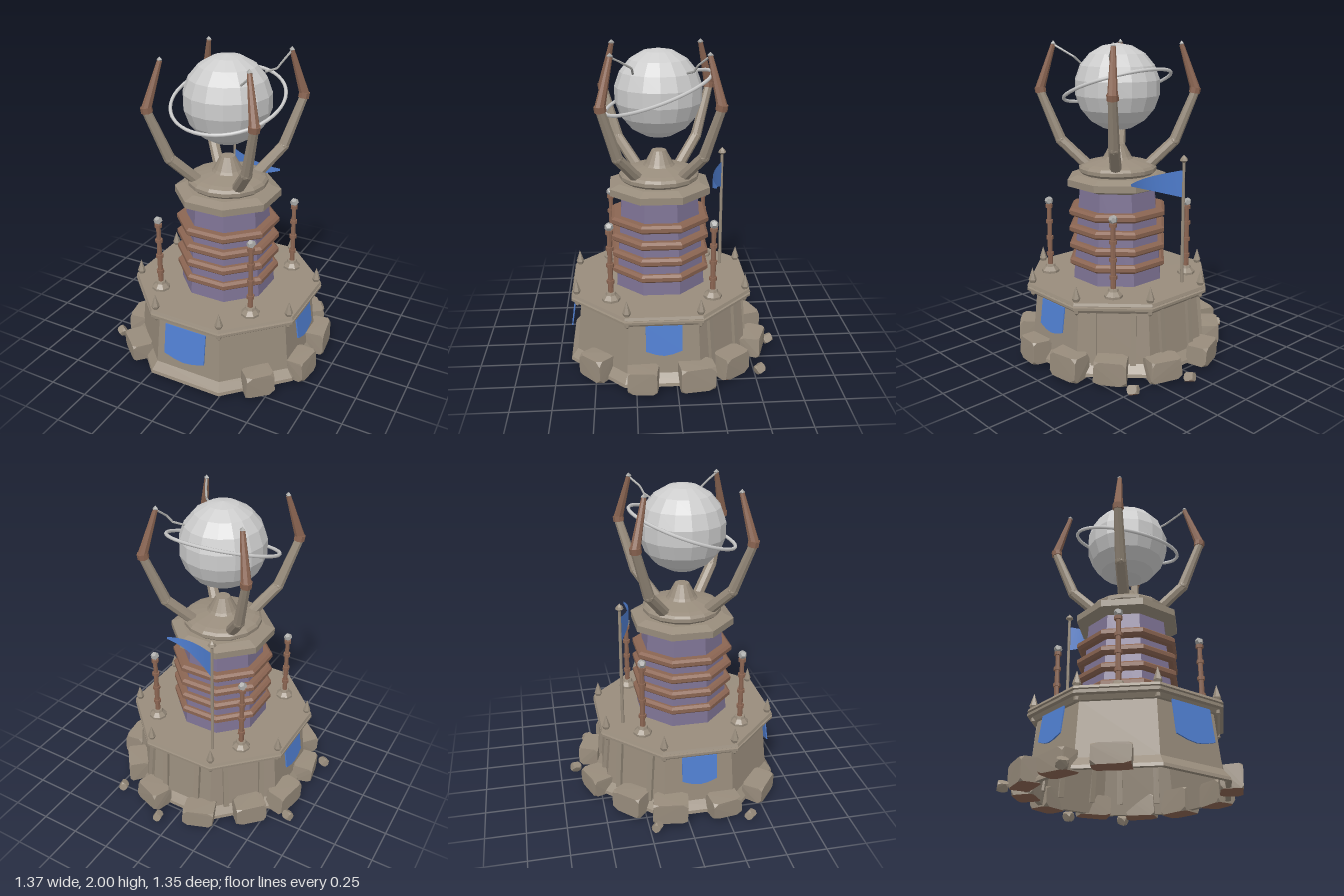
import * as THREE from 'three';
import { ConvexGeometry } from 'three/addons/geometries/ConvexGeometry.js';

const mat = (name, color) => {
  const m = new THREE.MeshStandardMaterial({ color });
  m.name = name;
  return m;
};
const V = (x, y, z) => new THREE.Vector3(x, y, z);
const K = Math.cos(Math.PI / 8);

// Hard-edged faceted version of a geometry
function facet(g) {
  const f = g.index ? g.toNonIndexed() : g;
  f.computeVertexNormals();
  return f;
}

export function createModel() {
  const stone = mat('stone', 0x988c7c);
  const copper = mat('copper', 0x8b6552);
  const purple = mat('purple brick', 0x7e7394);
  const silver = mat('silver', 0xcccccc);
  const metal = mat('grey metal', 0xa9a9a7);
  const blue = mat('blue cloth', 0x4f7ed0);
  blue.side = THREE.DoubleSide;

  const root = new THREE.Group();
  const tower = new THREE.Group();
  tower.name = 'tower';
  tower.position.set(0.02, 0, 0.08);
  root.add(tower);

  const add = (parent, name, geo, m, x = 0, y = 0, z = 0) => {
    const mesh = new THREE.Mesh(geo, m);
    mesh.name = name;
    mesh.position.set(x, y, z);
    parent.add(mesh);
    return mesh;
  };
  // Octagonal turned shape; profile is [apothem, height]
  const octa = (profile) => facet(new THREE.LatheGeometry(
    profile.map(([r, y]) => new THREE.Vector2(r / K, y)), 8, Math.PI / 8));
  const turned = (profile, n) => facet(new THREE.LatheGeometry(
    profile.map(([r, y]) => new THREE.Vector2(r, y)), n));
  // Tapered rod between two points
  const rod = (parent, name, a, b, ra, rb, m, n = 8) => {
    const g = facet(new THREE.CylinderGeometry(rb, ra, a.distanceTo(b), n));
    const mesh = add(parent, name, g, m);
    mesh.position.copy(a).lerp(b, 0.5);
    mesh.quaternion.setFromUnitVectors(V(0, 1, 0), b.clone().sub(a).normalize());
    return mesh;
  };

  // Hollow base with flared foot, and the platform on it
  add(tower, 'baseWall', octa([[0.49, 0.43], [0.555, 0.03], [0.585, 0.03], [0.58, 0.05],
    [0.54, 0.1], [0.508, 0.43]]), stone);
  add(tower, 'platform', octa([[0, 0.42], [0.53, 0.42], [0.545, 0.445], [0.567, 0.45], [0.567, 0.465],
    [0.553, 0.468], [0.553, 0.475], [0.567, 0.478], [0.56, 0.495], [0, 0.497]]), stone);

  // Corner spikes and small pendants
  for (let i = 0; i < 8; i++) {
    const a = Math.PI / 8 + i * Math.PI / 4;
    const s = Math.sin(a), c = Math.cos(a);
    add(tower, 'spike', turned([[0.016, 0.49], [0.026, 0.515], [0, 0.595]], 6), stone, s * 0.577, 0, c * 0.577);
    add(tower, 'pendant', turned([[0, 0.405], [0.016, 0.42], [0.016, 0.44]], 6), stone, s * 0.575, 0, c * 0.575);
  }

  // Ribs on the three rear walls
  for (let i = 3; i <= 5; i++) {
    const wall = new THREE.Group();
    wall.name = 'ribbedWall';
    wall.rotation.y = i * Math.PI / 4;
    for (const x of [-0.12, 0.12]) {
      const rib = add(wall, 'rib', facet(new THREE.BoxGeometry(0.035, 0.33, 0.035)), stone, x, 0.26, 0.53);
      rib.rotation.x = -0.09;
    }
    tower.add(wall);
  }

  // Hanging banners on the front and both sides
  for (const [angle, w, h, d] of [[0, 0.14, 0.23, 0.545], [1, 0.11, 0.19, 0.53], [-1, 0.11, 0.19, 0.53]]) {
    const holder = new THREE.Group();
    holder.name = 'bannerHolder';
    holder.rotation.y = angle * Math.PI / 2;
    const s = new THREE.Shape([[-w, 0], [-w, -h + 0.03], [-w * 0.45, -h + 0.008], [0, -h],
      [w * 0.45, -h + 0.008], [w, -h + 0.03], [w, 0]].map((p) => new THREE.Vector2(...p)));
    const g = new THREE.ExtrudeGeometry(s, { depth: 0.008, bevelEnabled: false });
    const banner = add(holder, 'banner', g, blue, 0, 0.42, d);
    banner.rotation.x = -0.14;
    tower.add(holder);
  }

  // Tapered octagonal shaft with copper coils
  add(tower, 'shaft', octa([[0.28, 0.49], [0.235, 1.1]]), purple);
  for (let i = 0; i < 4; i++) {
    const y = 0.61 + i * 0.109;
    add(tower, 'coil', octa([[0.24, y - 0.026], [0.285, y - 0.026], [0.302, y - 0.012], [0.302, y + 0.012],
      [0.285, y + 0.026], [0.24, y + 0.026]]), copper);
  }

  // Cap, collar and central cone
  add(tower, 'cap', octa([[0.2, 1.08], [0.24, 1.08], [0.308, 1.105], [0.308, 1.148], [0.25, 1.172], [0, 1.175]]), stone);
  add(tower, 'collar', turned([[0.215, 1.16], [0.235, 1.178], [0.25, 1.19], [0.25, 1.212], [0.235, 1.228],
    [0.205, 1.24], [0.1, 1.265], [0.088, 1.28], [0.045, 1.36], [0, 1.362]], 16), stone);

  // Four bent arms, each above a slender corner post
  for (const sx of [-1, 1]) for (const sz of [-1, 1]) {
    const p = (r, y) => V(sx * r, y, sz * r);
    rod(tower, 'armBase', p(0.13, 1.21), p(0.255, 1.38), 0.037, 0.035, stone);
    add(tower, 'armJoint', facet(new THREE.IcosahedronGeometry(0.036, 1)), stone, sx * 0.255, 1.38, sz * 0.255);
    rod(tower, 'armShaft', p(0.255, 1.38), p(0.343, 1.69), 0.035, 0.027, stone);
    rod(tower, 'armElbow', p(0.34, 1.68), p(0.344, 1.715), 0.035, 0.035, copper);
    rod(tower, 'armProng', p(0.344, 1.7), p(0.28, 1.975), 0.031, 0.015, copper);
    add(tower, 'armTip', facet(new THREE.OctahedronGeometry(0.019)), metal, sx * 0.28, 1.98, sz * 0.28);

    const post = new THREE.Group();
    post.name = 'cornerPost';
    post.position.set(sx * 0.32, 0, sz * 0.315);
    add(post, 'postFoot', turned([[0.058, 0.49], [0.058, 0.51], [0.035, 0.535], [0.03, 0.55], [0, 0.55]], 8), stone);
    rod(post, 'postRod', V(0, 0.54, 0), V(0, 0.96, 0), 0.017, 0.014, copper);
    for (const y of [0.62, 0.73, 0.84, 0.945]) {
      rod(post, 'postKnob', V(0, y - 0.011, 0), V(0, y + 0.011, 0), 0.024, 0.024, copper);
    }
    add(post, 'postGem', facet(new THREE.DodecahedronGeometry(0.028)), metal, 0, 0.98, 0);
    tower.add(post);
  }

  // Floating orb with its tilted orbit ring
  add(tower, 'orb', facet(new THREE.SphereGeometry(0.27, 16, 9)), silver, 0, 1.715, 0);
  const orbit = add(tower, 'orbitRing', new THREE.TorusGeometry(0.344, 0.011, 6, 48), silver, 0, 1.72, 0);
  orbit.rotation.x = Math.PI / 2 + 0.35;

  // Bent wires from two arms to the orb
  for (const path of [
    [[0.28, 1.975, 0.28], [0.25, 1.94, 0.22], [0.21, 1.9, 0.16], [0.165, 1.86, 0.154]],
    [[0.28, 1.975, -0.28], [0.25, 1.92, -0.215], [0.225, 1.88, -0.195], [0.165, 1.86, -0.16]]]) {
    for (let i = 0; i < 3; i++) rod(tower, 'wire', V(...path[i]), V(...path[i + 1]), 0.007, 0.007, metal, 6);
  }

  // Flagpole with a waving pennant
  const flag = new THREE.Group();
  flag.name = 'flagpole';
  flag.position.set(-0.15, 0, -0.34);
  rod(flag, 'pole', V(0, 0.49, 0), V(0, 1.28, 0), 0.011, 0.009, stone);
  add(flag, 'finial', turned([[0.008, 1.27], [0.026, 1.285], [0.02, 1.3], [0, 1.32]], 6), stone);
  const cloth = new THREE.PlaneGeometry(1, 1, 8, 1);
  const pos = cloth.attributes.position;
  for (let i = 0; i < pos.count; i++) {
    const t = pos.getX(i) + 0.5;
    const y = pos.getY(i) > 0 ? 1.225 - 0.045 * t : 1.05 + 0.115 * t;
    pos.setXYZ(i, 0.37 * t, y, 0.09 * Math.sin(2.1 * t));
  }
  cloth.computeVertexNormals();
  add(flag, 'pennant', cloth, blue);
  root.add(flag);

  // Rough boulders around the foot; undersides show brown earth
  let seed = 7;
  const rnd = () => (seed = (seed * 16807) % 2147483647) / 2147483647;
  const boulder = (w, h, d, cut) => {
    const pts = [];
    for (const x of [-1, 1]) for (const y of [-1, 1]) for (const z of [-1, 1]) {
      const j = () => 0.88 + 0.12 * rnd();
      const c = V(x * w / 2 * j(), y * h / 2 * j(), z * d / 2 * j());
      for (const k of ['x', 'y', 'z']) {
        const q = c.clone();
        q[k] *= 1 - cut * (0.6 + 0.8 * rnd());
        pts.push(q);
      }
    }
    const g = new ConvexGeometry(pts);
    const n = g.attributes.normal;
    for (let i = 0; i < n.count; i += 3) g.addGroup(i, 3, n.getY(i) < -0.75 ? 1 : 0);
    return g;
  };
  // x, z, width, height, turn
  for (const [x, z, w, h, turn] of [
    [-0.155, -0.52, 0.21, 0.13, 0.35], [0.2, -0.52, 0.21, 0.14, -0.35], [0.455, -0.34, 0.21, 0.15, -0.9],
    [0.59, -0.115, 0.22, 0.16, -1.45], [0.605, 0.21, 0.2, 0.15, 1.45], [0.44, 0.49, 0.19, 0.155, 0.8],
    [-0.425, 0.5, 0.22, 0.12, -0.7], [-0.565, 0.23, 0.2, 0.13, -1.35], [-0.565, -0.11, 0.23, 0.15, 1.4],
    [-0.42, -0.33, 0.21, 0.14, 0.8]]) {
    const rock = add(root, 'boulder', boulder(w, h, 0.14, 0.3), [stone, copper], x, 0.018 + h / 2, z);
    rock.rotation.y = turn;
  }
  for (const [x, z, turn] of [[0.09, -0.645, 0.3], [0.45, -0.53, 0.5], [-0.645, -0.21, 1.1], [-0.645, 0.385, 0.9]]) {
    const pebble = add(root, 'pebble', boulder(0.05, 0.055, 0.065, 0.6), [stone, copper], x, 0.033, z);
    pebble.rotation.set(0.3, turn, 0.4);
  }
  return root;
}
